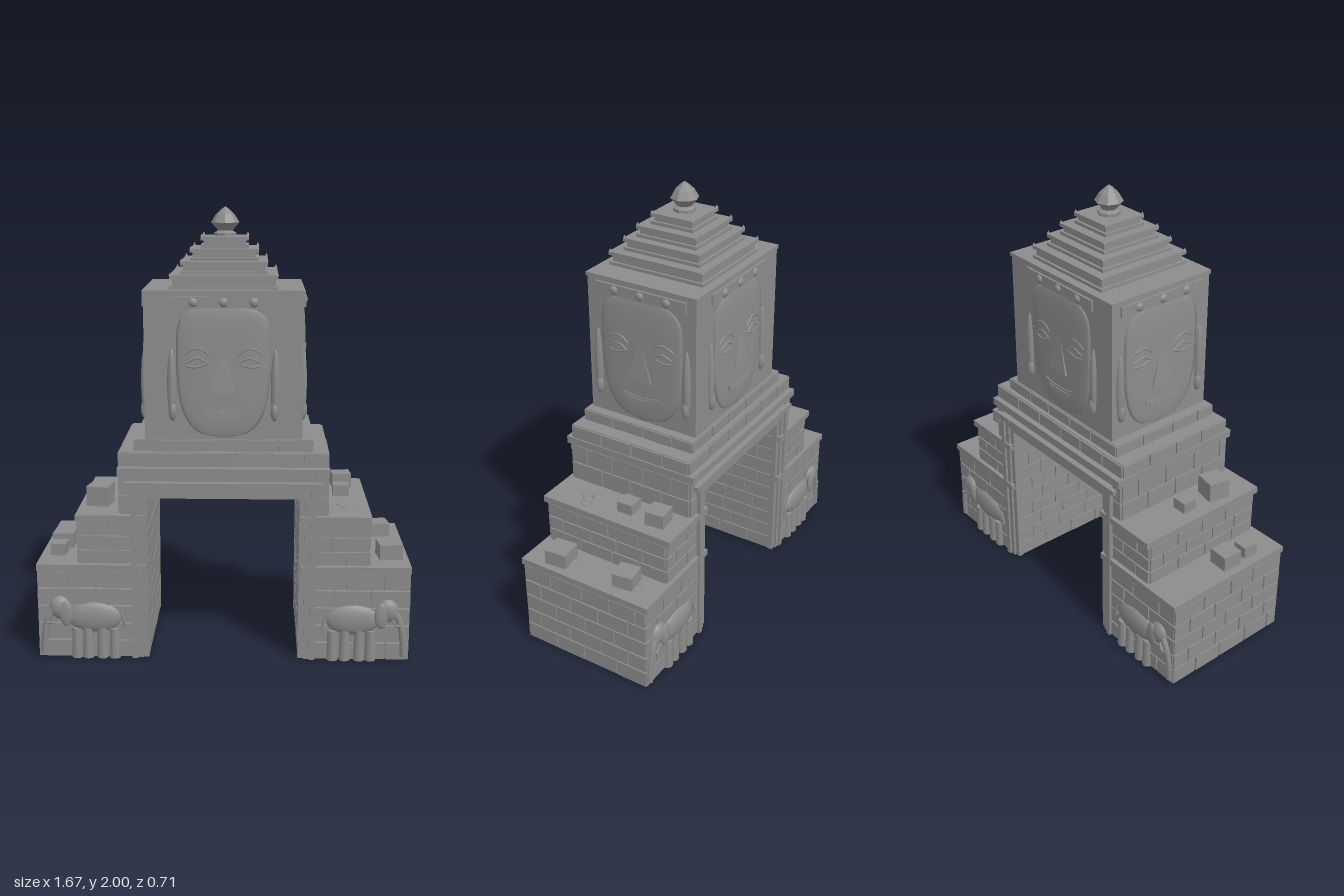
import * as THREE from 'three';
import { mergeGeometries } from 'three/addons/utils/BufferGeometryUtils.js';
import { ParametricGeometry } from 'three/addons/geometries/ParametricGeometry.js';

const stone = new THREE.MeshStandardMaterial({ color: 0x8c8c8c });
stone.name = 'grey stone';

let seed = 7;
const rand = () => (seed = (seed * 16807) % 2147483647) / 2147483647;

function add(parent, name, geo, x = 0, y = 0, z = 0) {
  const m = new THREE.Mesh(geo, stone);
  m.name = name;
  m.position.set(x, y, z);
  parent.add(m);
  return m;
}

// Box given by its lower and upper limits
function block(parent, name, x0, x1, y0, y1, z0, z1) {
  return add(parent, name, new THREE.BoxGeometry(x1 - x0, y1 - y0, z1 - z0),
    (x0 + x1) / 2, (y0 + y1) / 2, (z0 + z1) / 2);
}

function tube(parent, name, pts, r) {
  const curve = new THREE.CatmullRomCurve3(pts.map(p => new THREE.Vector3(...p)));
  return add(parent, name, new THREE.TubeGeometry(curve, 12, r, 6));
}

// Running-bond brick skin in the local xy plane, centred on x, rising from y = 0
function bricks(parent, name, w, h, pos, turn) {
  const parts = [], rows = Math.max(1, Math.round(h / 0.075)), rh = h / rows, gap = 0.007;
  for (let r = 0; r < rows; r++) {
    let x = -w / 2, len = r % 2 ? 0.08 : 0.15;
    while (x < w / 2 - 0.001) {
      let end = x + len * (0.9 + rand() * 0.25);
      if (end > w / 2 - 0.04) end = w / 2;
      const g = new THREE.BoxGeometry(end - x - gap, rh - gap, 0.02);
      g.translate((x + end) / 2, (r + 0.5) * rh, -rand() * 0.002);
      parts.push(g);
      x = end;
      len = 0.15;
    }
  }
  const m = add(parent, name, mergeGeometries(parts), ...pos);
  m.rotation.y = turn;
}

// Carved face with ears, band and features; local +z points outward
function makeFace() {
  const f = new THREE.Group();
  const dome = (u, v, t) => {
    const a = u * 2 - 1, b = v * 2 - 1;
    const e = b < 0 ? 3.2 : 7;
    const w = 0.205 * Math.pow(Math.max(0, 1 - Math.pow(Math.abs(b), e)), 1 / 2.6) * (b < 0 ? 1 + b * 0.1 : 1);
    const z = 0.014 * Math.pow(Math.max(0, (1 - Math.pow(Math.abs(a), 4)) * (1 - Math.pow(Math.abs(b), 4))), 0.6);
    t.set(a * w, 1.3 + b * 0.29, z);
  };
  add(f, 'face', new ParametricGeometry(dome, 28, 32));

  // Wedge nose
  const nose = new THREE.CylinderGeometry(0.16, 1, 1, 4, 1).rotateY(Math.PI / 4).toNonIndexed();
  nose.computeVertexNormals();
  nose.scale(0.08, 0.18, 0.018);
  add(f, 'nose', nose, 0, 1.3, 0.011);

  for (const s of [-1, 1]) {
    tube(f, 'brow', [[s * 0.06, 1.375, 0.012], [s * 0.10, 1.405, 0.013], [s * 0.14, 1.4, 0.011], [s * 0.17, 1.38, 0.007]], 0.005);
    tube(f, 'upperLid', [[s * 0.065, 1.34, 0.012], [s * 0.11, 1.365, 0.013], [s * 0.16, 1.345, 0.009]], 0.005);
    tube(f, 'lowerLid', [[s * 0.065, 1.34, 0.012], [s * 0.12, 1.325, 0.012], [s * 0.16, 1.33, 0.009]], 0.005);
    const ear = add(f, 'ear', new THREE.SphereGeometry(1, 12, 12), s * 0.225, 1.245, 0);
    ear.scale.set(0.02, 0.16, 0.018);
    const lobe = add(f, 'earLobe', new THREE.SphereGeometry(1, 10, 8), s * 0.222, 1.13, 0);
    lobe.scale.set(0.018, 0.045, 0.022);
  }

  // Smiling lips and a row of teeth
  const lips = new THREE.Shape();
  lips.moveTo(-0.095, 1.145);
  lips.quadraticCurveTo(0, 1.12, 0.095, 1.145);
  lips.quadraticCurveTo(0.085, 1.09, 0, 1.088);
  lips.quadraticCurveTo(-0.085, 1.09, -0.095, 1.145);
  add(f, 'lips', new THREE.ExtrudeGeometry(lips, { depth: 0.017, bevelEnabled: false }));
  for (let i = -2; i <= 2; i++)
    add(f, 'tooth', new THREE.BoxGeometry(0.026, 0.012, 0.006), i * 0.029, 1.116 + i * i * 0.001, 0.018);

  // Studded headband
  block(f, 'headband', -0.225, 0.225, 1.58, 1.628, -0.005, 0.01);
  for (const x of [-0.13, 0, 0.13])
    add(f, 'stud', new THREE.SphereGeometry(0.021, 12, 8), x, 1.604, 0.006).scale.z = 0.7;
  return f;
}

// Elephant relief, head toward +x, outward +z
function makeElephant() {
  const e = new THREE.Group();
  const ball = (name, x, y, sx, sy, sz, z = 0) =>
    add(e, name, new THREE.SphereGeometry(1, 18, 12), x, y, z).scale.set(sx, sy, sz);
  ball('elephantBody', 0.58, 0.19, 0.125, 0.072, 0.03);
  ball('elephantHead', 0.735, 0.235, 0.05, 0.055, 0.032);
  ball('elephantEar', 0.705, 0.215, 0.03, 0.06, 0.012, 0.024);
  for (const x of [0.49, 0.545, 0.61, 0.66])
    add(e, 'elephantLeg', new THREE.CylinderGeometry(0.023, 0.026, 0.14, 10), x, 0.07, 0.003);
  tube(e, 'elephantTrunk', [[0.765, 0.23, 0.008], [0.79, 0.18, 0.01], [0.805, 0.1, 0.008], [0.81, 0.02, 0.006]], 0.017);
  tube(e, 'elephantTusk', [[0.755, 0.2, 0.02], [0.775, 0.17, 0.025], [0.795, 0.17, 0.026]], 0.006);
  tube(e, 'elephantTail', [[0.462, 0.215, 0.008], [0.448, 0.18, 0.01], [0.445, 0.14, 0.008]], 0.006);
  return e;
}

export function createModel() {
  const root = new THREE.Group();
  root.name = 'faceTowerGate';
  const Q = Math.PI / 2;

  // Stepped piers: outer x, base y, top y of each step
  const steps = [[0.835, 0, 0.44], [0.655, 0.44, 0.67], [0.465, 0.67, 0.85]];
  for (const s of [-1, 1]) {
    const pier = new THREE.Group();
    pier.name = s > 0 ? 'leftPier' : 'rightPier';
    root.add(pier);
    steps.forEach(([x, y0, y1], i) => {
      const wallTop = i < 2 ? y1 - 0.03 : y1;
      const span = [s * 0.342, s * (x - 0.008)].sort((a, b) => a - b);
      block(pier, 'pierCore', ...span, y0, wallTop, -0.308, 0.308);
      if (i < 2) {
        const cap = [s * 0.342, s * x].sort((a, b) => a - b);
        block(pier, 'pierCap', ...cap, wallTop, y1, -0.333, 0.333);
      }
      bricks(pier, 'outerBricks', i ? 0.62 : 0.65, wallTop - y0, [s * (x - 0.01), y0, 0], s * Q);
      const w = x - 0.41;
      for (const d of [-1, 1])
        bricks(pier, 'frontBricks', w, wallTop - y0, [s * (0.405 + w / 2), y0, d * (i ? 0.308 : 0.315)], d > 0 ? 0 : Math.PI);
    });
    bricks(pier, 'passageBricks', 0.62, 0.745, [s * 0.345, 0, 0], -s * Q);
    for (const d of [-1, 1]) {
      const e = makeElephant();
      e.name = 'elephant';
      e.scale.set(s, 1, d);
      e.position.z = d * 0.317;
      pier.add(e);
    }
  }

  // Lintel and stepped platform under the head
  block(root, 'lintel', -0.455, 0.455, 0.745, 0.85, -0.308, 0.308);
  block(root, 'cornice', -0.465, 0.465, 0.85, 0.885, -0.333, 0.333);
  block(root, 'platform', -0.455, 0.455, 0.885, 0.95, -0.3, 0.3);
  block(root, 'plinth', -0.387, 0.387, 0.95, 1.005, -0.278, 0.278);
  for (let k = 0; k < 4; k++) {
    const side = k % 2;
    const dir = [Math.sin(k * Q), Math.cos(k * Q)];
    const course = (w, h, y, d) => bricks(root, 'platformBricks', w, h, [dir[0] * d, y, dir[1] * d], k * Q);
    course(side ? 0.61 : 0.92, 0.065, 0.885, side ? 0.455 : 0.3);
    course(side ? 0.57 : 0.78, 0.055, 0.95, side ? 0.385 : 0.276);
  }

  // Stepped door surround, front and back
  for (const d of [-1, 1]) {
    [[0.335, 0.36, 0.745, 0.315], [0.36, 0.385, 0.77, 0.325], [0.385, 0.41, 0.795, 0.335]].forEach(([a, b, top, z]) => {
      const z0 = Math.min(d * z, d * 0.29), z1 = Math.max(d * z, d * 0.29);
      block(root, 'doorJamb', a, b, 0, top, z0, z1);
      block(root, 'doorJamb', -b, -a, 0, top, z0, z1);
      block(root, 'doorHead', -b, b, top, top + 0.025, z0, z1);
    });
    for (const s of [-1, 1])
      add(root, 'doorHeadEar', new THREE.BoxGeometry(0.1, 0.022, 0.035), s * 0.385, 0.81, d * 0.32);
  }

  // Head block with a face on each side
  block(root, 'headBlock', -0.345, 0.345, 1.0, 1.64, -0.27, 0.27);
  block(root, 'headSlab', -0.35, 0.35, 1.638, 1.655, -0.275, 0.275);
  for (let k = 0; k < 4; k++) {
    const f = makeFace(), d = k % 2 ? 0.345 : 0.27;
    f.name = 'carvedFace';
    f.rotation.y = k * Q;
    f.position.set(Math.sin(k * Q) * d, 0, Math.cos(k * Q) * d);
    root.add(f);
  }

  // Tiered crown with corner knobs
  [[0.235, 1.655, 1.715], [0.19, 1.715, 1.77], [0.15, 1.77, 1.822], [0.105, 1.822, 1.872]].forEach(([r, y0, y1]) => {
    const b = r - 0.012;
    block(root, 'crownTier', -b, b, y0, y1, -b, b);
    block(root, 'crownFoot', -r, r, y0, y0 + 0.014, -r, r);
    block(root, 'crownLip', -r, r, y1 - 0.016, y1, -r, r);
    for (const x of [-1, 1]) for (const z of [-1, 1])
      add(root, 'crownKnob', new THREE.ConeGeometry(0.008, 0.016, 6), x * (r - 0.005), y1 + 0.006, z * (r - 0.005));
  });

  // Faceted bud finial
  const bud = [[0.05, 1.865], [0.05, 1.885], [0.032, 1.895], [0.063, 1.93], [0.042, 1.965], [0.015, 1.99], [0, 2]];
  const finial = new THREE.LatheGeometry(bud.map(p => new THREE.Vector2(...p)), 8).toNonIndexed();
  finial.computeVertexNormals();
  add(root, 'finial', finial);

  // Fallen stones on the steps: x, z, width, base y, height, turn
  [[0.55, -0.21, 0.09, 0.67, 0.065, 0.1], [0.54, -0.05, 0.075, 0.67, 0.05, 0], [0.73, -0.16, 0.095, 0.44, 0.065, 0.15],
    [0.75, 0.175, 0.105, 0.44, 0.07, 0.1], [-0.56, -0.03, 0.07, 0.67, 0.05, 0], [-0.565, 0.14, 0.1, 0.67, 0.09, -0.2],
    [-0.75, 0.05, 0.095, 0.44, 0.07, -0.05], [-0.755, 0.17, 0.07, 0.44, 0.055, -0.05]].forEach(([x, z, w, y, h, t]) => {
    add(root, 'fallenStone', new THREE.BoxGeometry(w, h, w), x, y + h / 2, z).rotation.y = t;
  });

  // Low rounded pebbles on the left pier
  [[0.53, 0.13], [0.57, 0.15], [0.55, 0.17], [0.6, 0.14], [0.74, -0.22], [0.73, 0.13]].forEach(([x, z]) => {
    add(root, 'pebble', new THREE.SphereGeometry(0.022, 10, 6), x, x < 0.65 ? 0.67 : 0.44, z).scale.y = 0.25;
  });
  return root;
}
